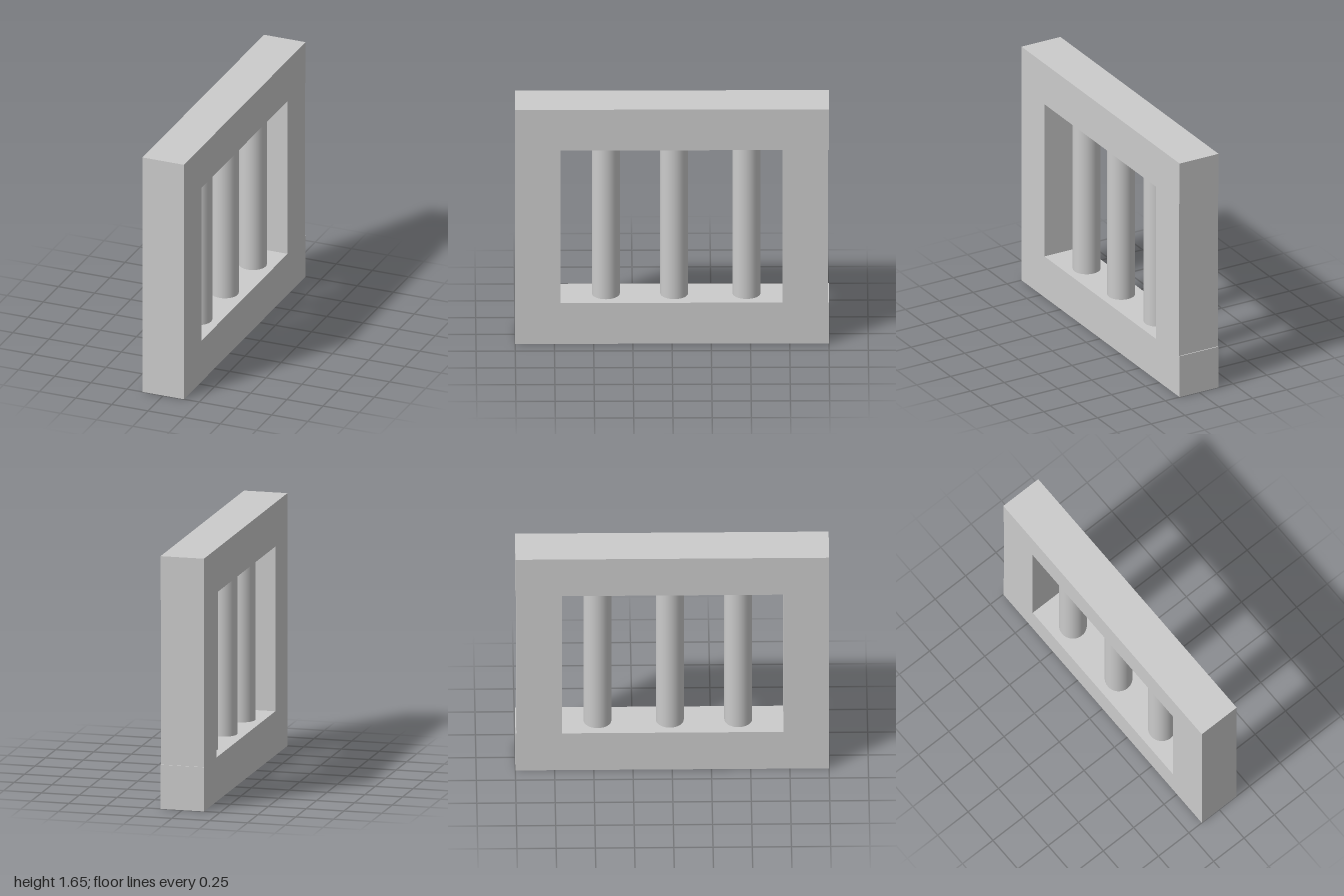
import * as THREE from 'three';

const BAR = 0.287;              // thickness of the square frame timbers
const HEIGHT = 1.65;
const OPEN_BOTTOM = 0.288, OPEN_TOP = 1.363;

export function createModel() {
  const group = new THREE.Group();
  const material = new THREE.MeshStandardMaterial({ color: 0xcccccc });
  const openHeight = OPEN_TOP - OPEN_BOTTOM;
  const openMiddle = (OPEN_TOP + OPEN_BOTTOM) / 2;

  function add(name, geometry, y, z) {
    const mesh = new THREE.Mesh(geometry, material);
    mesh.name = name;
    mesh.position.set(0, y, z);
    group.add(mesh);
  }

  // Full-length rails at the bottom and top
  add('bottomRail', new THREE.BoxGeometry(BAR, OPEN_BOTTOM, 2), OPEN_BOTTOM / 2, 0);
  add('topRail', new THREE.BoxGeometry(BAR, HEIGHT - OPEN_TOP, 2), (HEIGHT + OPEN_TOP) / 2, 0);

  // Upright posts between the rails; the back one sits slightly inset
  const post = new THREE.BoxGeometry(BAR, openHeight, BAR + 0.003);
  add('frontPost', post, openMiddle, 0.855);
  add('backPost', post, openMiddle, -0.849);

  // Three round bars, a little unevenly spaced
  const rod = new THREE.CylinderGeometry(0.089, 0.089, openHeight, 32);
  [0.422, -0.014, -0.475].forEach((z, i) => add(`roundBar${i + 1}`, rod, openMiddle, z));

  return group;
}
